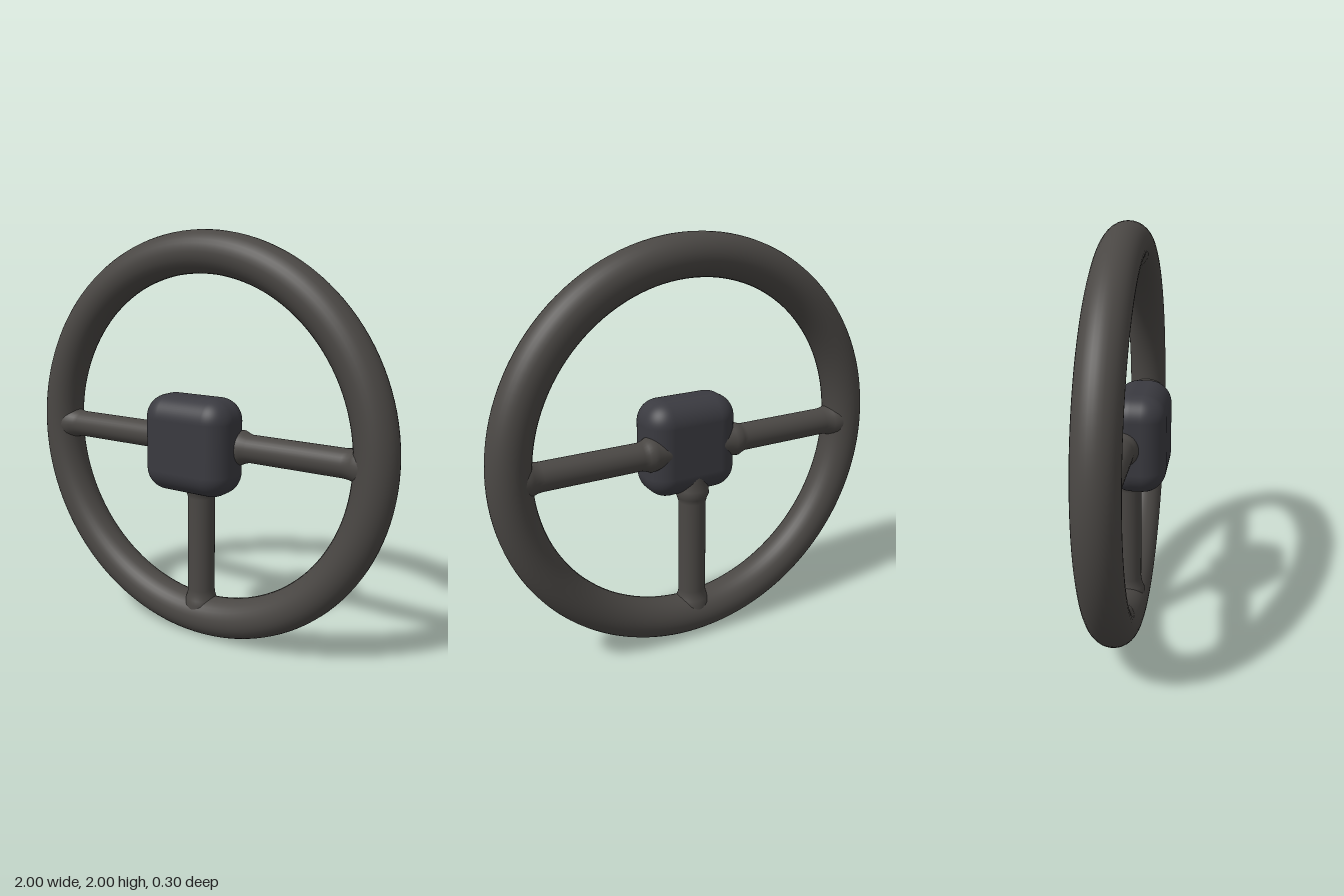
import * as THREE from 'three';
import { RoundedBoxGeometry } from 'three/addons/geometries/RoundedBoxGeometry.js';

export function createModel() {
  const group = new THREE.Group();
  group.name = 'steeringWheel';
  const rimMaterial = new THREE.MeshStandardMaterial({ color: 0x4a4744 });
  const hubMaterial = new THREE.MeshStandardMaterial({ color: 0x3a3a40 });
  const centreY = 1, rimZ = -0.05;

  function add(name, geometry, material, z) {
    const mesh = new THREE.Mesh(geometry, material);
    mesh.name = name;
    mesh.position.set(0, centreY, z);
    group.add(mesh);
    return mesh;
  }

  // Round rim
  add('rim', new THREE.TorusGeometry(0.9, 0.1, 32, 128), rimMaterial, rimZ);

  // Padded hub, standing forward of the rim
  add('hub', new RoundedBoxGeometry(0.47, 0.47, 0.27, 8, 0.11), hubMaterial, 0.015);

  // Round spokes, running outward along +y and flaring where they meet hub and rim
  const profile = [
    [0.067, 0.1], [0.07, 0.17], [0.08, 0.21], [0.083, 0.235], [0.074, 0.255], [0.067, 0.28],
    [0.067, 0.76], [0.07, 0.785], [0.077, 0.808], [0.086, 0.83], [0.088, 0.88],
  ].map(([r, y]) => new THREE.Vector2(r, y));
  const spokeGeometry = new THREE.LatheGeometry(profile, 32);
  const spokes = { leftSpoke: -Math.PI / 2, rightSpoke: Math.PI / 2, lowerSpoke: Math.PI };
  for (const [name, angle] of Object.entries(spokes)) {
    add(name, spokeGeometry, rimMaterial, rimZ).rotation.z = angle;
  }

  return group;
}
